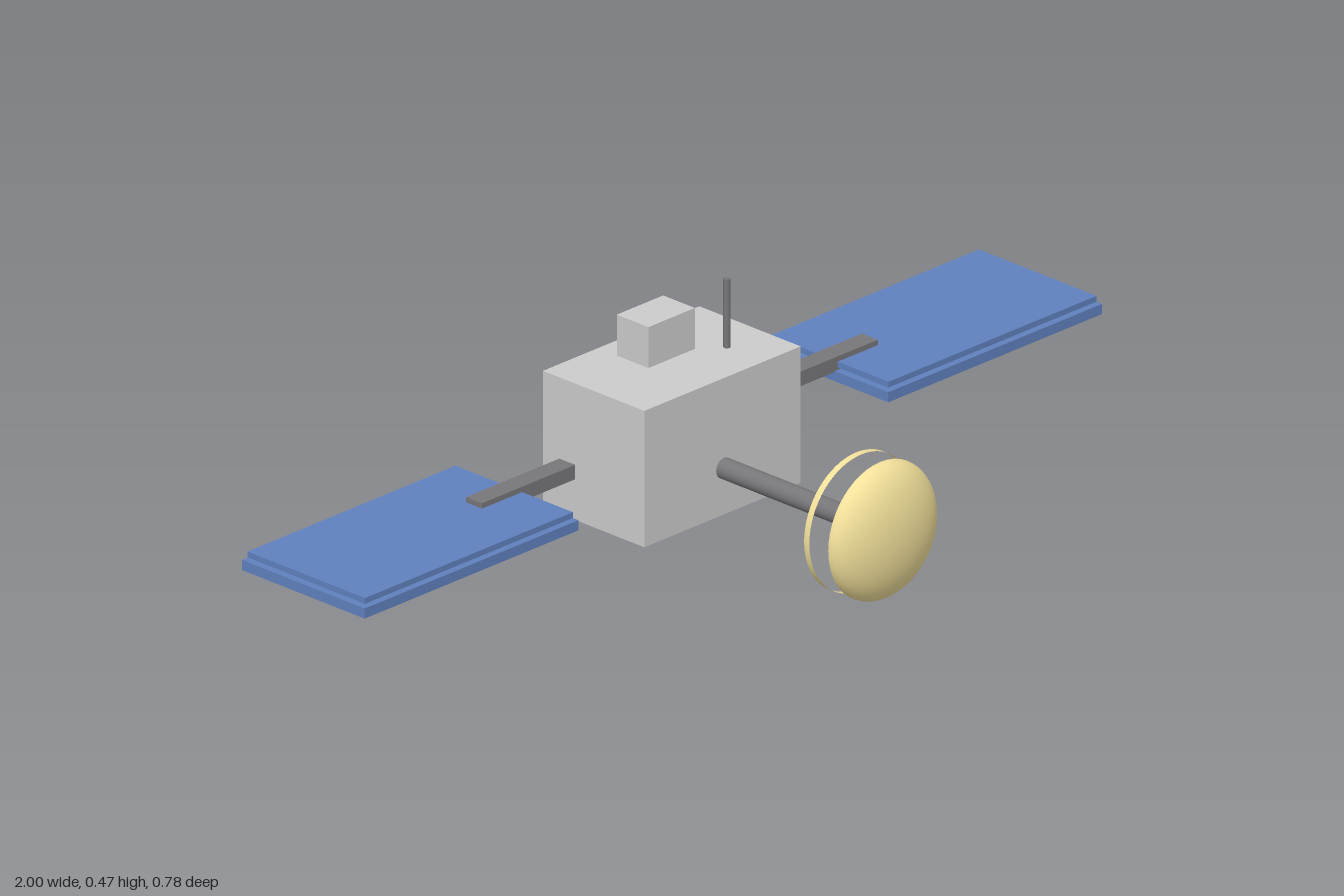
import * as THREE from 'three';

const mat = (color, side = THREE.FrontSide) => new THREE.MeshStandardMaterial({ color, side });

export function createModel() {
  const model = new THREE.Group();
  model.name = 'satellite';
  const grey = mat(0xcccccc), dark = mat(0x77777a), blue = mat(0x6080bc);
  const gold = mat(0xf2e09a, THREE.DoubleSide);

  const add = (name, geometry, material, x, y, z) => {
    const mesh = new THREE.Mesh(geometry, material);
    mesh.name = name;
    mesh.position.set(x, y, z);
    model.add(mesh);
    return mesh;
  };
  // Box given by its [min, max] range on each axis
  const box = (name, material, [x0, x1], [y0, y1], [z0, z1]) =>
    add(name, new THREE.BoxGeometry(x1 - x0, y1 - y0, z1 - z0), material,
      (x0 + x1) / 2, (y0 + y1) / 2, (z0 + z1) / 2);

  // Main body with the instrument box and antenna on its roof
  box('body', grey, [-0.212, 0.212], [0.043, 0.326], [-0.361, -0.092]);
  box('instrumentBox', grey, [-0.063, 0.063], [0.326, 0.411], [-0.311, -0.227]);
  add('antenna', new THREE.CylinderGeometry(0.007, 0.007, 0.143, 16), dark, 0.112, 0.397, -0.19);

  // Solar wings: arm, backing panel and slightly smaller cell panel above it
  for (const [side, s] of [['left', 1], ['right', -1]]) {
    const span = (a, b) => (s > 0 ? [a, b] : [-b, -a]);
    box(side + 'Arm', dark, span(0.284, 0.537), [0.172, 0.202], [-0.247, -0.205]);
    box(side + 'BackingPanel', blue, span(0.42, 1), [0.153, 0.174], [-0.389, -0.063]);
    box(side + 'CellPanel', blue, span(0.428, 0.992), [0.179, 0.191], [-0.382, -0.07]);
  }

  // Boom, ring and shallow dish, all on one axis along z
  const axisY = 0.142, dishR = 0.141, dishDepth = 0.062;
  const alongZ = (geometry) => geometry.rotateX(Math.PI / 2);
  add('boom', alongZ(new THREE.CylinderGeometry(0.021, 0.021, 0.39, 32)), dark, 0, axisY, 0.107);
  add('dishRing', alongZ(new THREE.CylinderGeometry(dishR, dishR, 0.014, 64, 1, true)), gold, 0, axisY, 0.27);
  const dish = new THREE.SphereGeometry(dishR, 48, 16, 0, Math.PI * 2, 0, Math.PI / 2);
  dish.scale(1, dishDepth / dishR, 1);
  add('dish', alongZ(dish), gold, 0, axisY, 0.327);

  return model;
}
